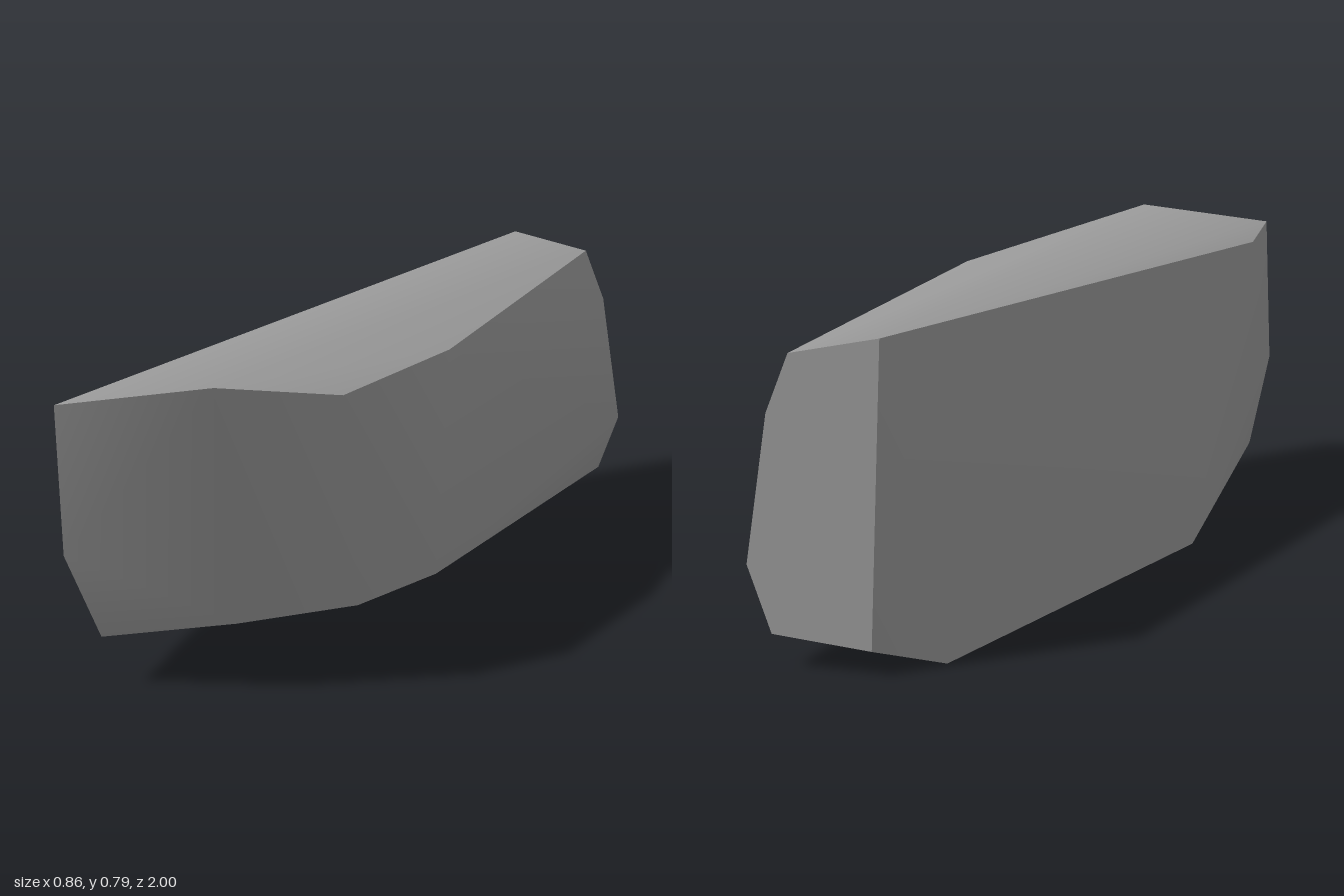
import * as THREE from 'three';
import { ConvexGeometry } from 'three/addons/geometries/ConvexGeometry.js';
import { toCreasedNormals } from 'three/addons/utils/BufferGeometryUtils.js';

export function createModel() {
  const group = new THREE.Group();
  group.name = 'rock';

  const stone = new THREE.MeshStandardMaterial({ color: 0x9a9a9a });
  stone.name = 'grey stone';

  // Corners of the sloping top
  const top = [
    [-0.4, 0.74, 1], [-0.055, 0.788, 0.92], [0.16, 0.727, 0.68], [0.27, 0.727, 0.21],
    [0.32, 0.727, -1], [0.11, 0.77, -1], [-0.4, 0.717, 0.77],
  ];
  // Bulges part way down the sides
  const sides = [[-0.43, 0.36, 0.92], [0.375, 0.59, -1], [0.43, 0.24, -1]];
  // Corners of the undercut base
  const base = [
    [-0.395, 0.127, 0.81], [-0.075, 0.18, 0.76], [0.15, 0.177, 0.55], [0.27, 0.187, 0.31],
    [0.375, 0.082, -1], [0.14, 0.06, -1], [0.005, 0, -0.87], [-0.368, 0.028, 0.1],
  ];

  // Chiselled hull: soft sides, sharp rims around the top, base and back end
  const points = [...top, ...sides, ...base].map((p) => new THREE.Vector3(...p));
  const boulder = new THREE.Mesh(toCreasedNormals(new ConvexGeometry(points), 0.75), stone);
  boulder.name = 'boulder';
  group.add(boulder);
  return group;
}
